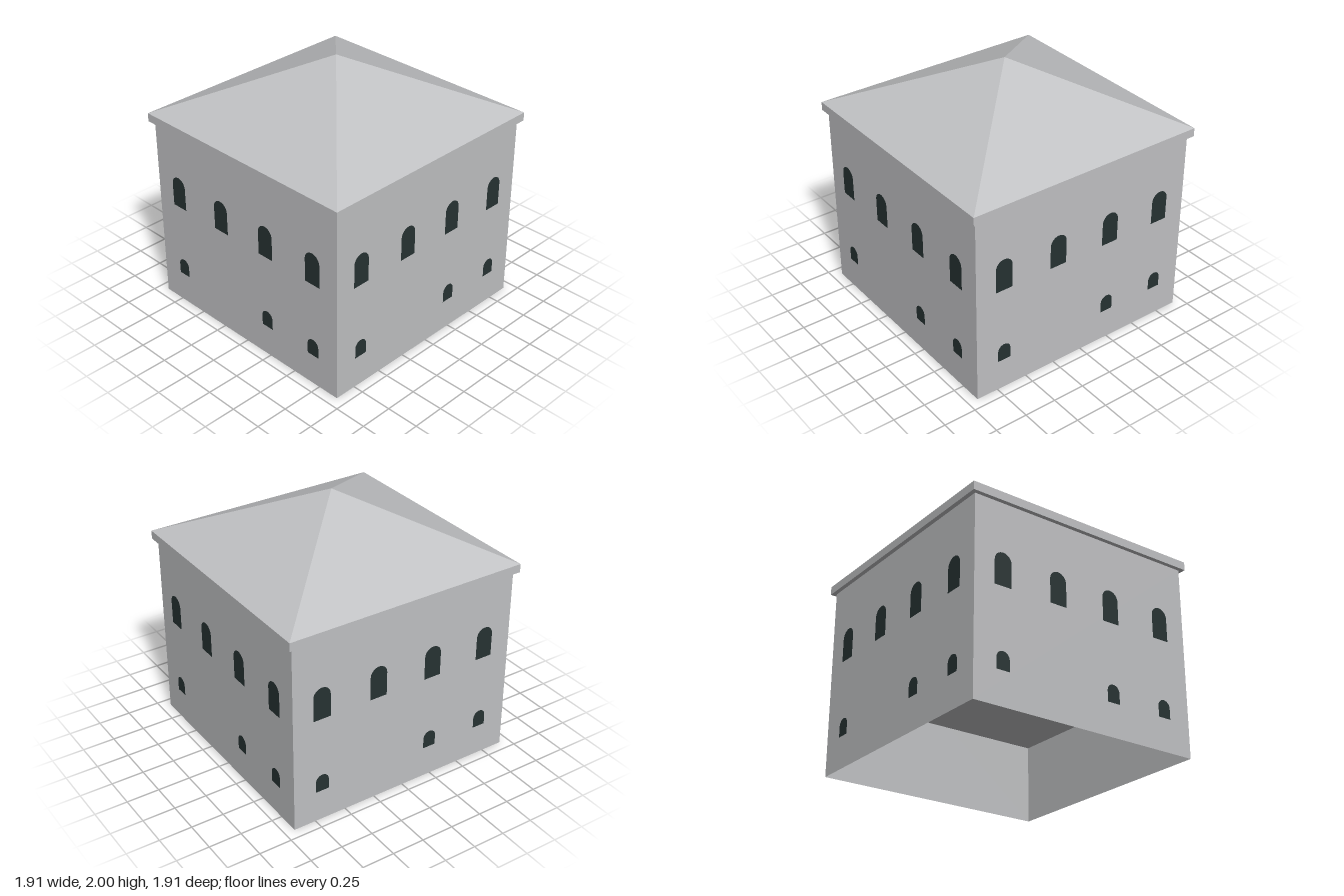
import * as THREE from 'three';

const WALL = 0.922, EAVE = 0.955;
const WALL_TOP = 1.475, EAVE_TOP = 1.54, PEAK = 2;

// Arched opening outline: flat sill, straight sides, round head
function archGeometry(width, bottom, top) {
  const r = width / 2;
  const s = new THREE.Shape();
  s.moveTo(-r, bottom);
  s.lineTo(r, bottom);
  s.lineTo(r, top - r);
  s.absarc(0, top - r, r, 0, Math.PI, false);
  s.lineTo(-r, bottom);
  return new THREE.ShapeGeometry(s, 10);
}

export function createModel() {
  const stone = new THREE.MeshStandardMaterial({ color: 0xc0c1c3, side: THREE.DoubleSide, flatShading: true });
  stone.name = 'palegreyStone';
  const glass = new THREE.MeshStandardMaterial({ color: 0x263232, side: THREE.DoubleSide });
  glass.name = 'darkGlass';

  const model = new THREE.Group();
  model.name = 'house';
  const add = (parent, name, geometry, material, x = 0, y = 0, z = 0) => {
    const mesh = new THREE.Mesh(geometry, material);
    mesh.name = name;
    mesh.position.set(x, y, z);
    parent.add(mesh);
    return mesh;
  };

  const wallGeo = new THREE.PlaneGeometry(2 * WALL, WALL_TOP);
  const upperGeo = archGeometry(0.138, 0.845, 1.095);
  const lowerGeo = archGeometry(0.105, 0.248, 0.382);

  // Four identical sides, each turned a quarter
  ['front', 'left', 'back', 'right'].forEach((name, i) => {
    const side = new THREE.Group();
    side.name = name + 'Side';
    side.rotation.y = i * Math.PI / 2;
    add(side, 'wall', wallGeo, stone, 0, WALL_TOP / 2, WALL);
    for (const x of [-0.693, -0.231, 0.231, 0.693]) add(side, 'upperWindow', upperGeo, glass, x, 0, WALL + 0.003);
    for (const x of [-0.693, 0.231, 0.693]) add(side, 'lowerWindow', lowerGeo, glass, x, 0, WALL + 0.003);
    model.add(side);
  });

  // Inner floor, seen through the open base
  const floor = add(model, 'innerFloor', new THREE.PlaneGeometry(2 * WALL, 2 * WALL), stone, 0, 0.62, 0);
  floor.rotation.x = Math.PI / 2;

  // Eave band
  add(model, 'eave', new THREE.BoxGeometry(2 * EAVE, EAVE_TOP - WALL_TOP, 2 * EAVE), stone,
    0, (EAVE_TOP + WALL_TOP) / 2, 0);

  // Shallow pyramid roof
  const roofGeo = new THREE.ConeGeometry(EAVE * Math.SQRT2, PEAK - EAVE_TOP, 4, 1, true);
  roofGeo.rotateY(Math.PI / 4);
  add(model, 'roof', roofGeo, stone, 0, (PEAK + EAVE_TOP) / 2, 0);

  return model;
}
